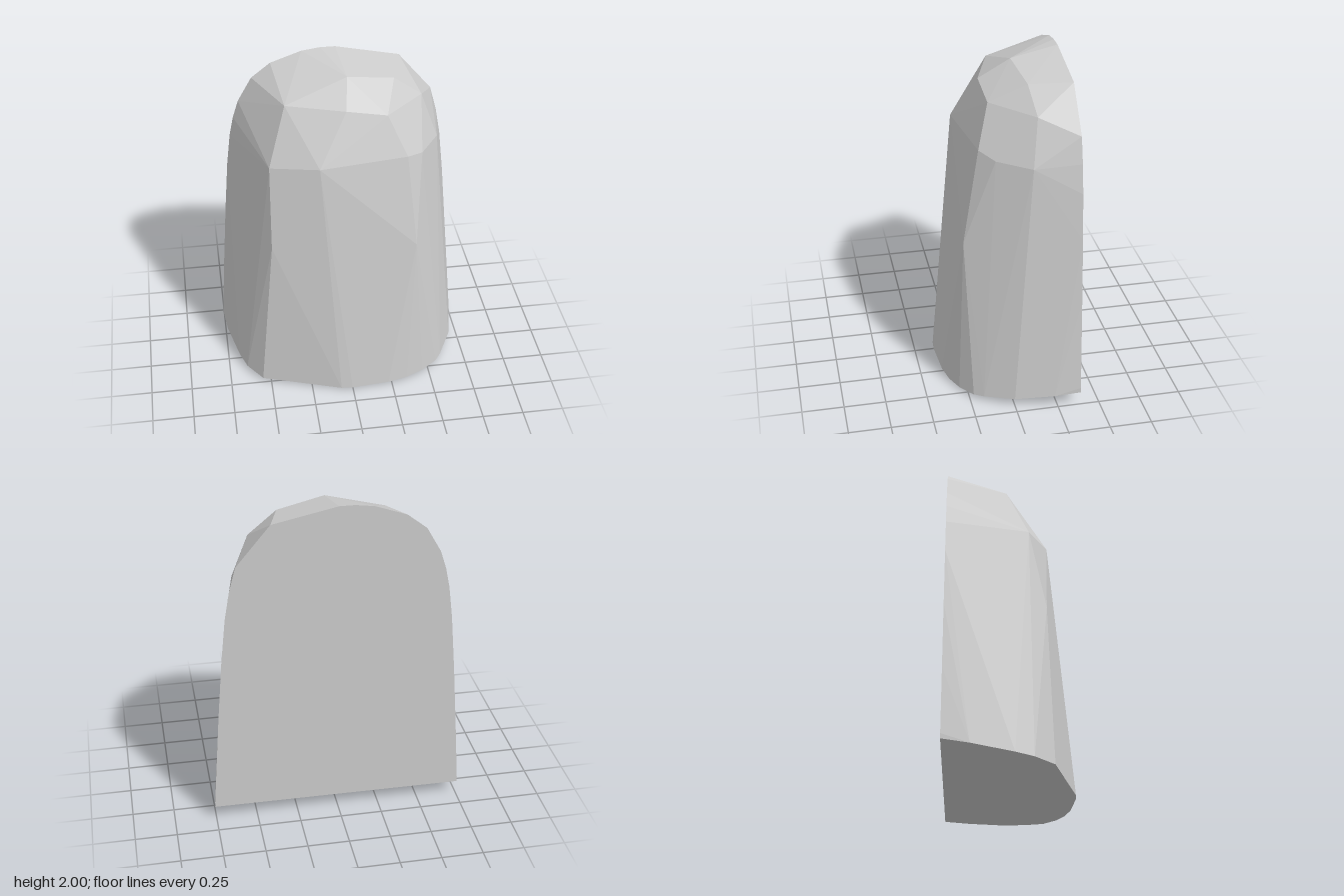
import * as THREE from 'three';
import { ConvexGeometry } from 'three/addons/geometries/ConvexGeometry.js';

// A faceted half dome: flat back, slightly sloping base, tapering chipped front.
export function createModel() {
  const group = new THREE.Group();
  group.name = 'halfDome';
  const grey = new THREE.MeshStandardMaterial({ color: 0xcccccc });
  grey.name = 'stone grey';
  const points = [];

  // flat back outline (x, y)
  const backZ = -0.385;
  const back = [
    [-0.757, 0.11], [-0.73, 0.5], [-0.70, 0.9], [-0.67, 1.25], [-0.645, 1.45], [-0.62, 1.57],
    [-0.585, 1.68], [-0.5, 1.83], [-0.385, 1.92], [-0.2, 1.985], [-0.09, 2], [0, 2],
    [0.38, 1.92], [0.58, 1.68], [0.62, 1.53], [0.65, 1.36], [0.68, 1.08], [0.712, 0.7], [0.755, 0.12],
  ];
  for (const [x, y] of back) points.push(new THREE.Vector3(x, y, backZ));

  // curved rim of the sloping base (x, z)
  const rim = [
    [-0.757, -0.385], [-0.74, -0.23], [-0.68, 0.01], [-0.64, 0.115], [-0.55, 0.23],
    [-0.07, 0.375], [0, 0.38], [0.23, 0.365], [0.35, 0.34], [0.46, 0.295], [0.56, 0.225],
    [0.6, 0.17], [0.69, 0], [0.74, -0.23], [0.755, -0.385],
  ];
  for (const [x, z] of rim) {
    points.push(new THREE.Vector3(x, (0.38 - z) * 0.105 + 0.01 * Math.max(x, 0), z));
  }

  // facet corners of the front, shoulders and crown
  const facets = [
    [-0.46, 1.0, 0.2], [0.4, 0.98, 0.25],
    [-0.45, 1.5, 0.1], [-0.17, 1.54, 0.22], [0.35, 1.54, 0.15], [0.45, 1.51, 0.07], [0.575, 1.5, -0.12],
    [-0.34, 1.83, -0.03], [0, 1.83, 0.085], [0.24, 1.78, 0.075], [0.48, 1.77, -0.16],
    [0.03, 1.95, -0.1], [0.31, 1.9, -0.14],
  ];
  for (const p of facets) points.push(new THREE.Vector3(...p));

  const body = new THREE.Mesh(new ConvexGeometry(points), grey);
  body.name = 'facetedBody';
  group.add(body);
  return group;
}
